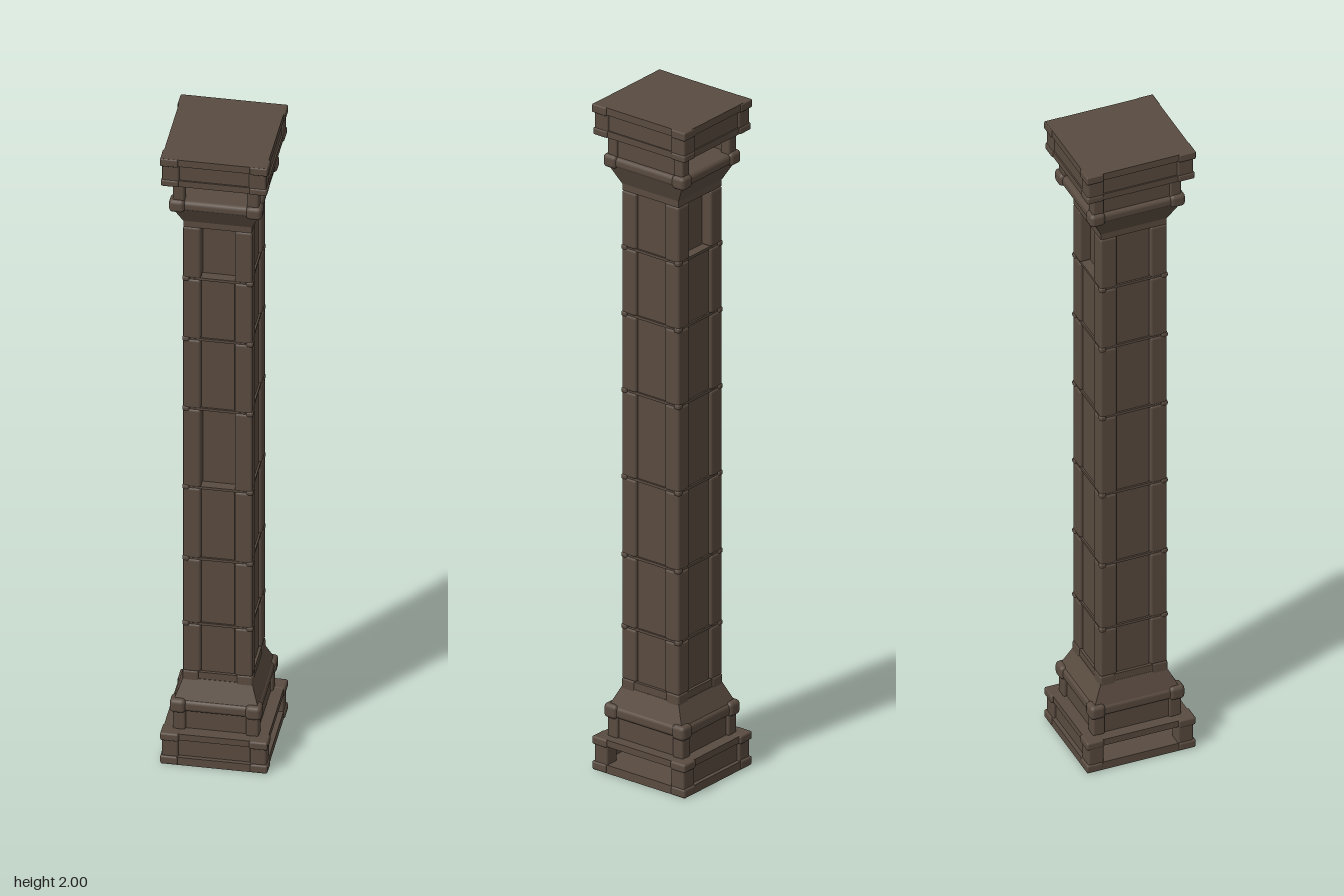
import * as THREE from 'three';
import { RoundedBoxGeometry } from 'three/addons/geometries/RoundedBoxGeometry.js';

export function createModel() {
  const model = new THREE.Group();
  model.name = 'stonePillar';
  const stone = new THREE.MeshStandardMaterial({ color: 0x594b40 });
  stone.name = 'brownStone';

  const add = (name, geometry, x, y, z) => {
    const mesh = new THREE.Mesh(geometry, stone);
    mesh.name = name;
    mesh.position.set(x, y, z);
    model.add(mesh);
    return mesh;
  };
  // Plain block between two heights, given half widths
  const block = (name, y0, y1, hx, hz, x = 0, z = 0) =>
    add(name, new THREE.BoxGeometry(hx * 2, y1 - y0, hz * 2), x, (y0 + y1) / 2, z);
  // Block with softened edges
  const softBlock = (name, y0, y1, hx, hz, x = 0, z = 0, r = 0.006) =>
    add(name, new RoundedBoxGeometry(hx * 2, y1 - y0, hz * 2, 2, r), x, (y0 + y1) / 2, z);
  // Four softened blocks whose outer faces lie at +-hx and +-hz
  const corners = (name, y0, y1, hx, hz, w, r) => {
    for (const sx of [-1, 1]) for (const sz of [-1, 1])
      softBlock(name, y0, y1, w / 2, w / 2, sx * (hx - w / 2), sz * (hz - w / 2), r);
  };
  // Box whose top and bottom differ in size
  const flare = (name, y0, y1, bottom, top) => {
    const geometry = new THREE.BoxGeometry(2, y1 - y0, 2);
    const p = geometry.attributes.position;
    for (let i = 0; i < p.count; i++) {
      const [hx, hz] = p.getY(i) > 0 ? top : bottom;
      p.setX(i, p.getX(i) * hx);
      p.setZ(i, p.getZ(i) * hz);
    }
    const flat = geometry.toNonIndexed();
    flat.computeVertexNormals();
    add(name, flat, 0, (y0 + y1) / 2, 0);
  };

  // Plinth: open on the two sides, closed at front and back
  block('plinthFloor', 0, 0.025, 0.146, 0.16);
  block('plinthTop', 0.08, 0.1, 0.146, 0.157);
  for (const s of [-1, 1]) block('plinthPanel', 0.02, 0.085, 0.125, 0.006, 0, s * 0.142);
  corners('plinthFootBead', 0, 0.026, 0.15, 0.163, 0.05);
  corners('plinthPost', 0.015, 0.09, 0.146, 0.157, 0.046);
  corners('plinthTopBead', 0.076, 0.101, 0.15, 0.163, 0.052);

  // Base neck, moulding and taper into the shaft
  block('baseNeck', 0.1, 0.16, 0.113, 0.122);
  corners('baseNeckPost', 0.097, 0.162, 0.12, 0.132, 0.036);
  softBlock('baseMoulding', 0.158, 0.194, 0.122, 0.134, 0, 0, 0.012);
  corners('baseMouldingBead', 0.155, 0.198, 0.128, 0.141, 0.045, 0.012);
  flare('baseTaper', 0.19, 0.25, [0.118, 0.128], [0.096, 0.099]);
  corners('baseTaperCorner', 0.235, 0.275, 0.098, 0.101, 0.045);

  // Shaft: core, corner stones and inset panels, course by course
  const X = 0.097, Z = 0.1;
  block('shaftCore', 0.24, 1.77, 0.066, 0.068);
  block('shaftFootBand', 0.245, 0.272, X - 0.002, Z - 0.002);
  block('shaftHeadBand', 1.74, 1.765, X - 0.002, Z - 0.002);
  const courses = [0.27, 0.43, 0.645, 0.88, 1.14, 1.37, 1.57, 1.742];
  for (let i = 0; i < courses.length - 1; i++) {
    const a = courses[i], b = courses[i + 1];
    corners('shaftCornerStone', a + 0.002, b - 0.002, X, Z, 0.05, 0.007);
    for (const s of [-1, 1]) {
      // A few panels are missing, leaving deep niches
      const niche = (s === 1 && i === 3) || i === 6;
      if (!niche) block('shaftPanel', a + 0.003, b - 0.003, 0.046, 0.013, 0, s * (Z - 0.022));
      block('shaftPanel', a + 0.003, b - 0.003, 0.013, 0.049, s * (X - 0.022), 0);
    }
    // Narrow course bands at the joints
    if (i > 0) {
      block('courseBand', a - 0.004, a + 0.004, X - 0.004, Z - 0.004);
      corners('courseBead', a - 0.008, a + 0.008, X + 0.002, Z + 0.002, 0.02, 0.006);
    }
  }

  // Capital: flare, moulding and a neck open at front and back
  flare('capitalFlare', 1.76, 1.818, [0.096, 0.099], [0.12, 0.13]);
  softBlock('capitalMoulding', 1.813, 1.845, 0.124, 0.135, 0, 0, 0.012);
  corners('capitalMouldingBead', 1.81, 1.85, 0.13, 0.142, 0.045, 0.012);
  for (const s of [-1, 1]) block('capitalNeckPanel', 1.84, 1.915, 0.006, 0.105, s * 0.107, 0);
  corners('capitalNeckPost', 1.84, 1.915, 0.12, 0.132, 0.033);

  // Top slab with beaded corners
  block('topSlabSoffit', 1.91, 1.93, 0.144, 0.157);
  block('topSlab', 1.92, 1.985, 0.14, 0.153);
  block('topSlabLid', 1.978, 2, 0.146, 0.16);
  corners('topSlabLowerBead', 1.908, 1.93, 0.148, 0.161, 0.05);
  corners('topSlabPost', 1.92, 1.99, 0.145, 0.158, 0.048);
  corners('topSlabUpperBead', 1.975, 2, 0.15, 0.163, 0.05, 0.004);

  return model;
}
